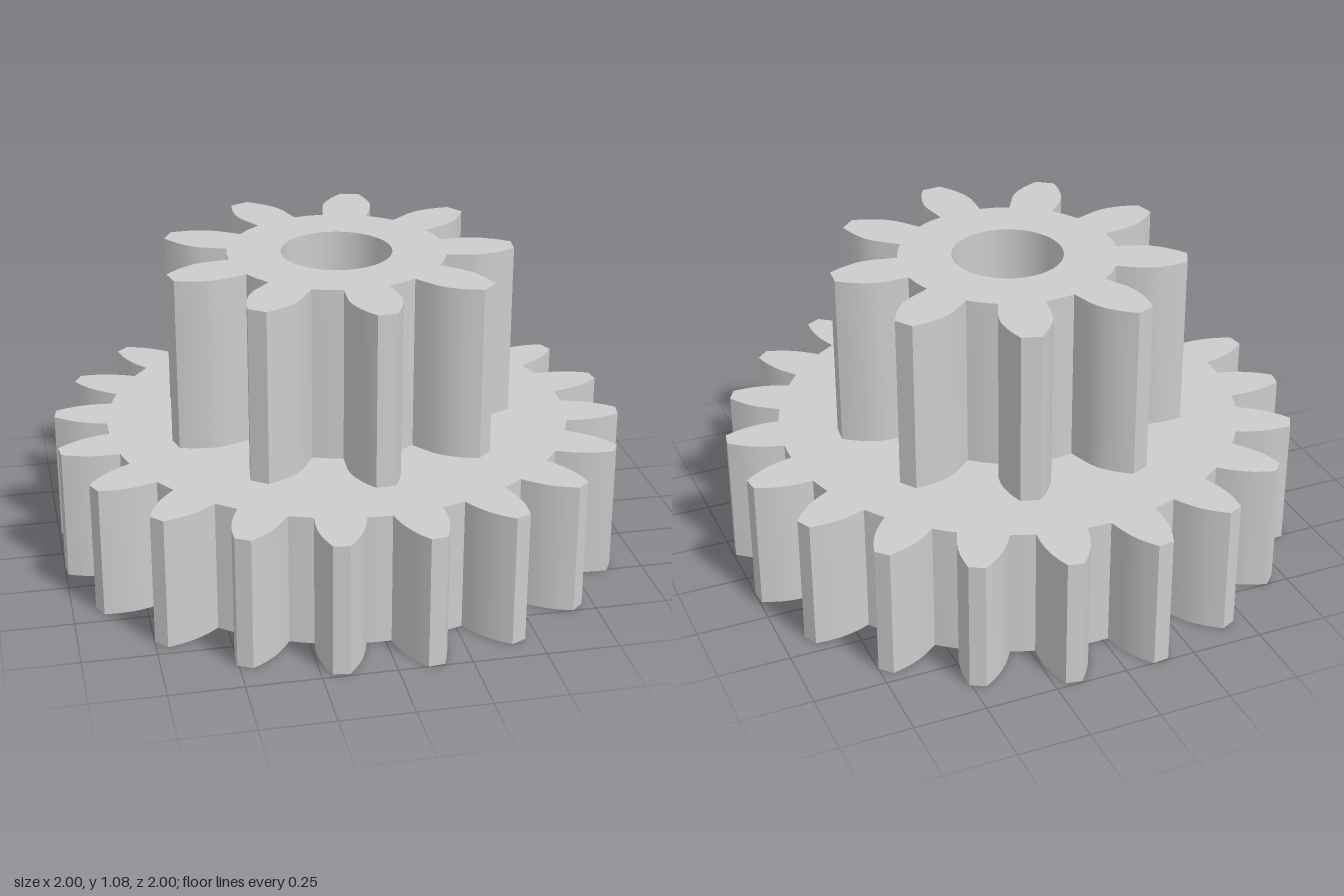
import * as THREE from 'three';
import { toCreasedNormals } from 'three/addons/utils/BufferGeometryUtils.js';

const BORE_RADIUS = 0.193;

// Toothed ring standing on y = 0. flank lists [radius, half width] from root to tip;
// phase is the clockwise angle in degrees of the first tooth, seen from above.
function gearGeometry(teeth, phase, flank, rootRadius, height) {
  const points = [];
  const step = (Math.PI * 2) / teeth;
  const polar = (r, a) => points.push(new THREE.Vector2(r * Math.sin(a), r * Math.cos(a)));
  for (let i = 0; i < teeth; i++) {
    const centre = THREE.MathUtils.degToRad(phase) + i * step;
    for (const [r, w] of flank) polar(r, centre - Math.asin(w / r));
    for (const [r, w] of [...flank].reverse()) polar(r, centre + Math.asin(w / r));
    polar(rootRadius, centre + step / 2);
  }
  // The outline runs clockwise, so the bore runs counter-clockwise
  const shape = new THREE.Shape(points);
  const bore = new THREE.Path();
  bore.absarc(0, 0, BORE_RADIUS, 0, Math.PI * 2, false);
  shape.holes.push(bore);
  const geometry = new THREE.ExtrudeGeometry(shape, { depth: height, bevelEnabled: false, curveSegments: 40 });
  geometry.rotateX(-Math.PI / 2);
  return toCreasedNormals(geometry, 0.5);
}

export function createModel() {
  const model = new THREE.Group();
  model.name = 'compoundGear';
  const grey = new THREE.MeshStandardMaterial({ color: 0xcccccc });
  grey.name = 'grey';

  // Wide lower gear with twenty teeth
  const largeFlank = [[0.817, 0.086], [0.86, 0.082], [0.89, 0.077], [0.914, 0.071], [0.94, 0.062], [0.97, 0.048], [1.005, 0.028]];
  const largeGear = new THREE.Mesh(gearGeometry(20, 10.6, largeFlank, 0.817, 0.467), grey);
  largeGear.name = 'largeGear';

  // Narrow upper gear with nine teeth
  const smallFlank = [[0.38, 0.078], [0.43, 0.084], [0.47, 0.088], [0.503, 0.086], [0.53, 0.079], [0.56, 0.067], [0.59, 0.051], [0.616, 0.034]];
  const smallGear = new THREE.Mesh(gearGeometry(9, 16, smallFlank, 0.38, 0.614), grey);
  smallGear.name = 'smallGear';
  smallGear.position.y = 0.467;

  model.add(largeGear, smallGear);
  return model;
}
